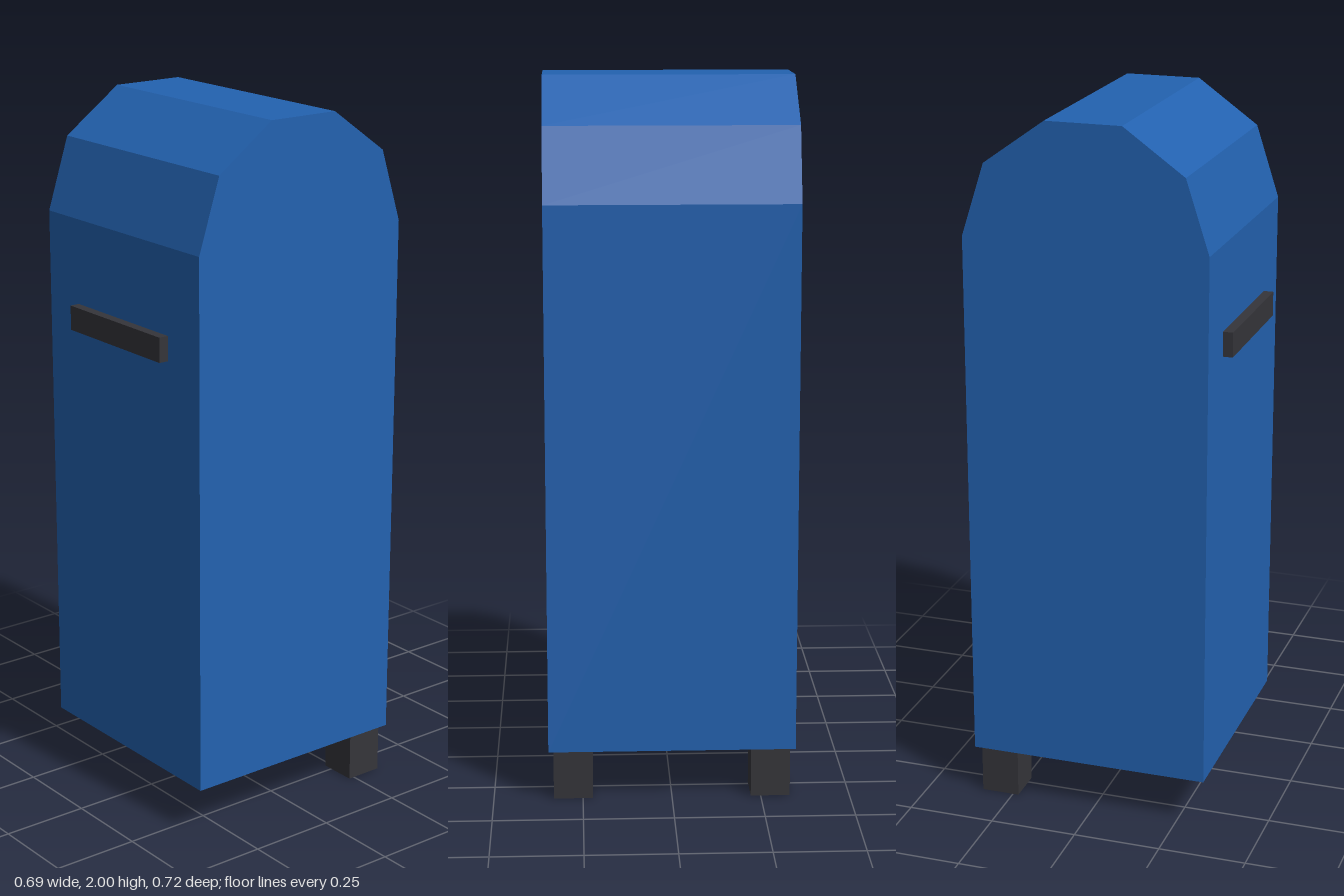
import * as THREE from 'three';

export function createModel() {
  const model = new THREE.Group();
  const blue = new THREE.MeshStandardMaterial({ color: 0x2362b0 });
  blue.name = 'blue paint';
  const dark = new THREE.MeshStandardMaterial({ color: 0x35353a });
  dark.name = 'dark metal';

  // Box between two corners
  const addBox = (name, [x0, y0, z0], [x1, y1, z1]) => {
    const mesh = new THREE.Mesh(new THREE.BoxGeometry(x1 - x0, y1 - y0, z1 - z0), dark);
    mesh.position.set((x0 + x1) / 2, (y0 + y1) / 2, (z0 + z1) / 2);
    mesh.name = name;
    model.add(mesh);
  };

  // Body: side profile (z, y) with a faceted arched top, extruded across the width
  const width = 0.692;
  const profile = [
    [-0.36, 0.143], [0.332, 0.143], [0.332, 1.672], [0.266, 1.876],
    [0.093, 2], [-0.122, 2], [-0.295, 1.876], [-0.36, 1.672],
  ].map(([z, y]) => new THREE.Vector2(z, y));
  const bodyGeometry = new THREE.ExtrudeGeometry(new THREE.Shape(profile), {
    depth: width, bevelEnabled: false,
  });
  bodyGeometry.translate(0, 0, -width / 2).rotateY(-Math.PI / 2);
  const body = new THREE.Mesh(bodyGeometry, blue);
  body.name = 'body';
  model.add(body);

  // Mail slot on the front
  addBox('mailSlot', [-0.208, 1.36, 0.3], [0.208, 1.43, 0.36]);

  // Rear legs
  addBox('leftRearLeg', [0.222, 0, -0.343], [0.332, 0.143, -0.233]);
  addBox('rightRearLeg', [-0.332, 0, -0.343], [-0.222, 0.143, -0.233]);

  return model;
}
